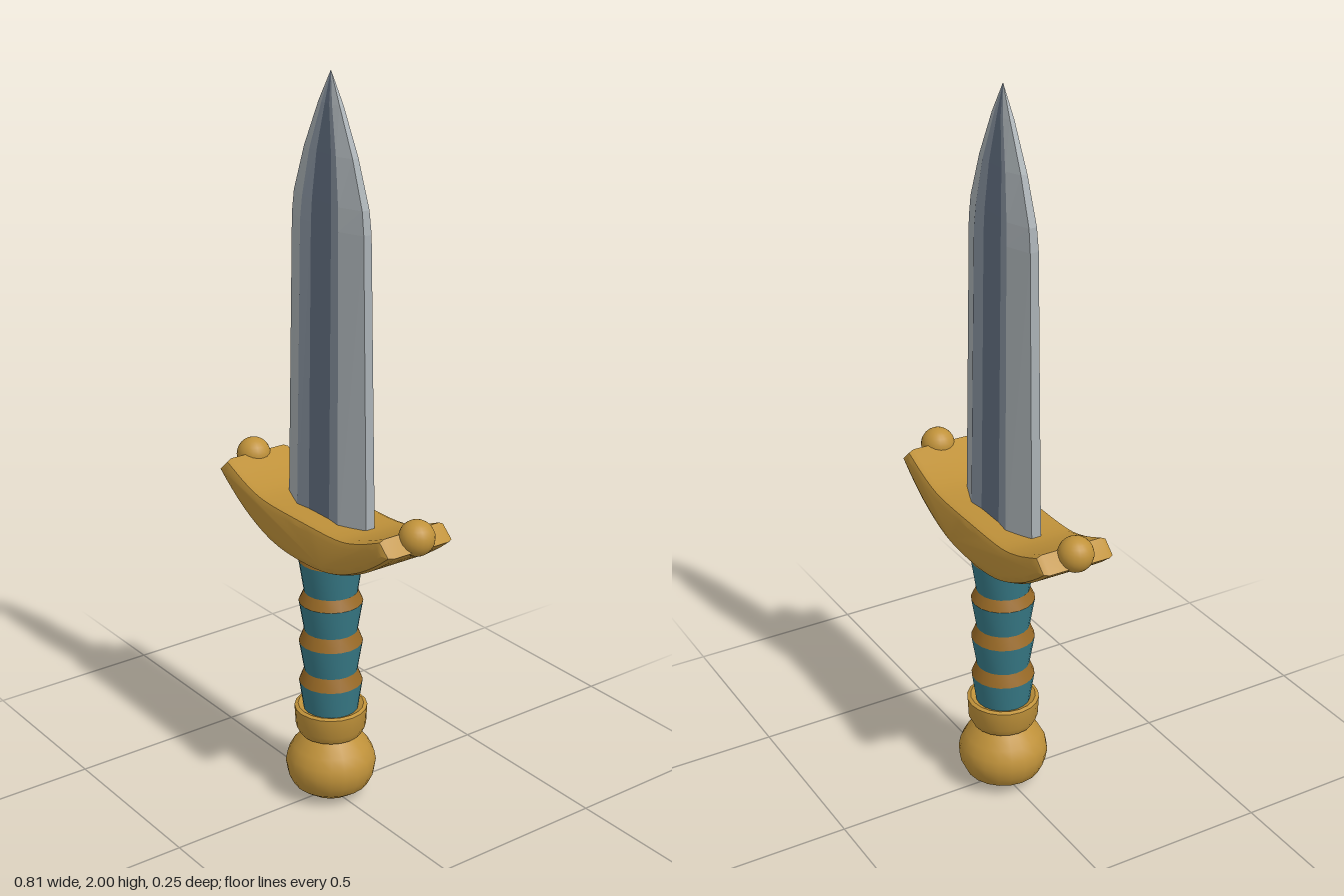
import * as THREE from 'three';
import { toCreasedNormals } from 'three/addons/utils/BufferGeometryUtils.js';

const mat = (name, color) => new THREE.MeshStandardMaterial({ name, color });
const V2 = (p) => new THREE.Vector2(p[0], p[1]);

function add(group, name, geometry, material) {
  const mesh = new THREE.Mesh(geometry, material);
  mesh.name = name;
  group.add(mesh);
  return mesh;
}

// Turned part from [radius, height] points, listed bottom to top
const turned = (points, crease = 0.6) =>
  toCreasedNormals(new THREE.LatheGeometry(points.map(V2), 20), crease);

// Hollow-ground blade lofted through cross-sections
function bladeGeometry() {
  // height, edge x, ridge x, fuller x, edge z, ridge z, fuller z
  const sections = [
    [0.78, 0.172, 0.09, 0.045, 0.014, 0.046, 0.04],
    [1.62, 0.15, 0.08, 0.042, 0.012, 0.037, 0.031],
    [1.68, 0.142, 0.075, 0.04, 0.011, 0.034, 0.029],
    [1.8, 0.1, 0.055, 0.03, 0.009, 0.026, 0.022],
    [1.92, 0.043, 0.022, 0.009, 0.006, 0.013, 0.012],
    [2, 0, 0, 0, 0, 0, 0],
  ];
  const rings = sections.map(([y, ex, rx, fx, ez, rz, fz]) => {
    const front = [[-ex, ez], [-rx, rz], [-fx, fz], [0, fz], [fx, fz], [rx, rz], [ex, ez]];
    return [...front, ...front.map(([x, z]) => [-x, -z])].map(([x, z]) => [x, y, z]);
  });
  const n = rings[0].length;
  const strips = [0, 1, 2, 2, 1, 0, 0]; // material of each strip, repeated on the back
  const positions = [];
  const geometry = new THREE.BufferGeometry();
  for (let m = 0; m < 3; m++) {
    const start = positions.length / 3;
    for (let i = 0; i < n; i++) {
      if (strips[i % 7] !== m) continue;
      const j = (i + 1) % n;
      for (let s = 0; s < rings.length - 1; s++) {
        const a = rings[s][i], b = rings[s][j], c = rings[s + 1][j], d = rings[s + 1][i];
        positions.push(...a, ...b, ...c);
        if (s < rings.length - 2) positions.push(...a, ...c, ...d);
      }
    }
    geometry.addGroup(start, positions.length / 3 - start, m);
  }
  geometry.setAttribute('position', new THREE.Float32BufferAttribute(positions, 3));
  geometry.computeVertexNormals();
  return geometry;
}

// Upswept crescent with bevelled rims
function guardGeometry() {
  const mirror = (pts) => [...pts.map(([x, y]) => [-x, y]).reverse(), [0, pts.mid], ...pts];
  const lowerHalf = [[0.13, 0.752], [0.25, 0.8], [0.352, 0.868]];
  lowerHalf.mid = 0.74;
  const upperHalf = [[0.16, 0.828], [0.25, 0.848], [0.335, 0.882]];
  upperHalf.mid = 0.825;
  const curve = (half) => new THREE.SplineCurve(mirror(half).map(V2)).getPoints(24);
  const shape = new THREE.Shape([...curve(lowerHalf), ...curve(upperHalf).reverse()]);
  const geometry = new THREE.ExtrudeGeometry(shape, {
    depth: 0.174, bevelThickness: 0.02, bevelSize: 0.02, bevelSegments: 2,
  });
  geometry.translate(0, 0, -0.087);
  return toCreasedNormals(geometry, 0.5);
}

export function createModel() {
  const gold = mat('gold', 0xc0923a);
  const bronze = mat('bronze binding', 0x996a26);
  const teal = mat('teal leather', 0x387b88);
  const steel = [
    mat('bright steel edge', 0xa9b0b4),
    mat('steel', 0x8893a0),
    mat('dark steel fuller', 0x637082),
  ];
  const dagger = new THREE.Group();
  dagger.name = 'dagger';

  add(dagger, 'blade', bladeGeometry(), steel);

  // Guard with a bead on each tip
  add(dagger, 'guard', guardGeometry(), gold);
  for (const side of [-1, 1]) {
    add(dagger, side > 0 ? 'leftBead' : 'rightBead', new THREE.SphereGeometry(0.047, 20, 14), gold)
      .position.set(side * 0.358, 0.893, 0);
  }

  // Grip: flared leather sections with bindings between them
  const grip = new THREE.Group();
  grip.name = 'grip';
  dagger.add(grip);
  const narrow = 0.073, wide = 0.087;
  const leather = [[0.25, 0.345], [0.38, 0.465], [0.5, 0.585], [0.615, 0.705]];
  leather.forEach(([bottom, top], i) => {
    add(grip, `leather${i + 1}`, turned([[narrow, bottom], [wide, top]]), teal);
    const next = i < 3 ? leather[i + 1][0] : 0.74;
    add(grip, `binding${i + 1}`, turned([[wide, top], [narrow, next]]), bronze);
  });

  // Collar and pommel
  add(dagger, 'collar', turned([
    [0.07, 0.185], [0.086, 0.19], [0.097, 0.212], [0.1, 0.268], [0.09, 0.272], [0.07, 0.262],
  ]), gold);
  add(dagger, 'pommel', turned([
    [0, 0], [0.07, 0.01], [0.106, 0.036], [0.12, 0.065], [0.125, 0.095], [0.12, 0.122],
    [0.105, 0.15], [0.083, 0.175], [0.07, 0.19],
  ], 0.5), gold);

  return dagger;
}
